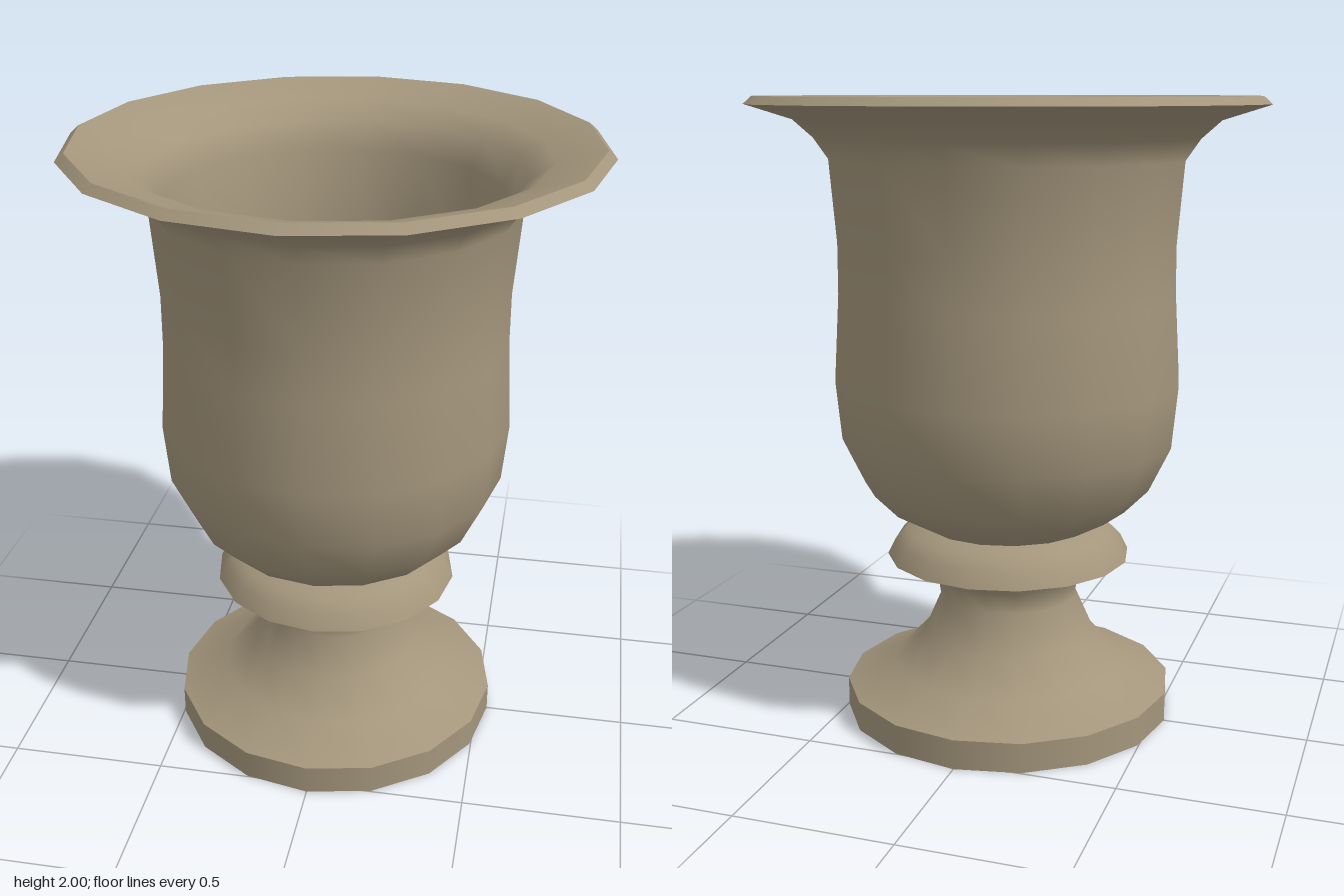
import * as THREE from 'three';

const SIDES = 16;

export function createModel() {
  const urn = new THREE.Group();
  urn.name = 'urn';
  const stone = new THREE.MeshStandardMaterial({ color: 0xa4967c });
  stone.name = 'weathered stone';

  // Each section is smooth inside; edges stay sharp where sections meet.
  // Profiles are [radius, height], walked from the underside up and over the rim.
  const sections = {
    plinthUnderside: [[0, 0], [0.537, 0]],
    plinthSide: [[0.537, 0], [0.537, 0.095]],
    flaredStem: [[0.537, 0.095], [0.38, 0.16], [0.28, 0.265], [0.225, 0.39], [0.235, 0.46], [0.285, 0.512]],
    collarUnderside: [[0.285, 0.512], [0.397, 0.53]],
    collar: [[0.397, 0.53], [0.372, 0.58], [0.335, 0.617], [0.28, 0.636]],
    bowlOutside: [
      [0.28, 0.636], [0.39, 0.697], [0.467, 0.775], [0.537, 0.92], [0.555, 1.11], [0.538, 1.39],
      [0.537, 1.55], [0.558, 1.81], [0.603, 1.875], [0.665, 1.93], [0.812, 1.976],
    ],
    rimEdge: [[0.812, 1.976], [0.785, 2]],
    bowlInside: [
      [0.785, 2], [0.64, 1.957], [0.57, 1.905], [0.52, 1.82], [0.49, 1.55], [0.49, 1.39],
      [0.507, 1.11], [0.49, 0.935], [0.43, 0.81], [0.34, 0.735], [0.2, 0.69], [0, 0.675],
    ],
  };

  for (const [name, profile] of Object.entries(sections)) {
    const points = profile.map(([r, y]) => new THREE.Vector2(r, y));
    const mesh = new THREE.Mesh(new THREE.LatheGeometry(points, SIDES), stone);
    mesh.name = name;
    urn.add(mesh);
  }
  return urn;
}
